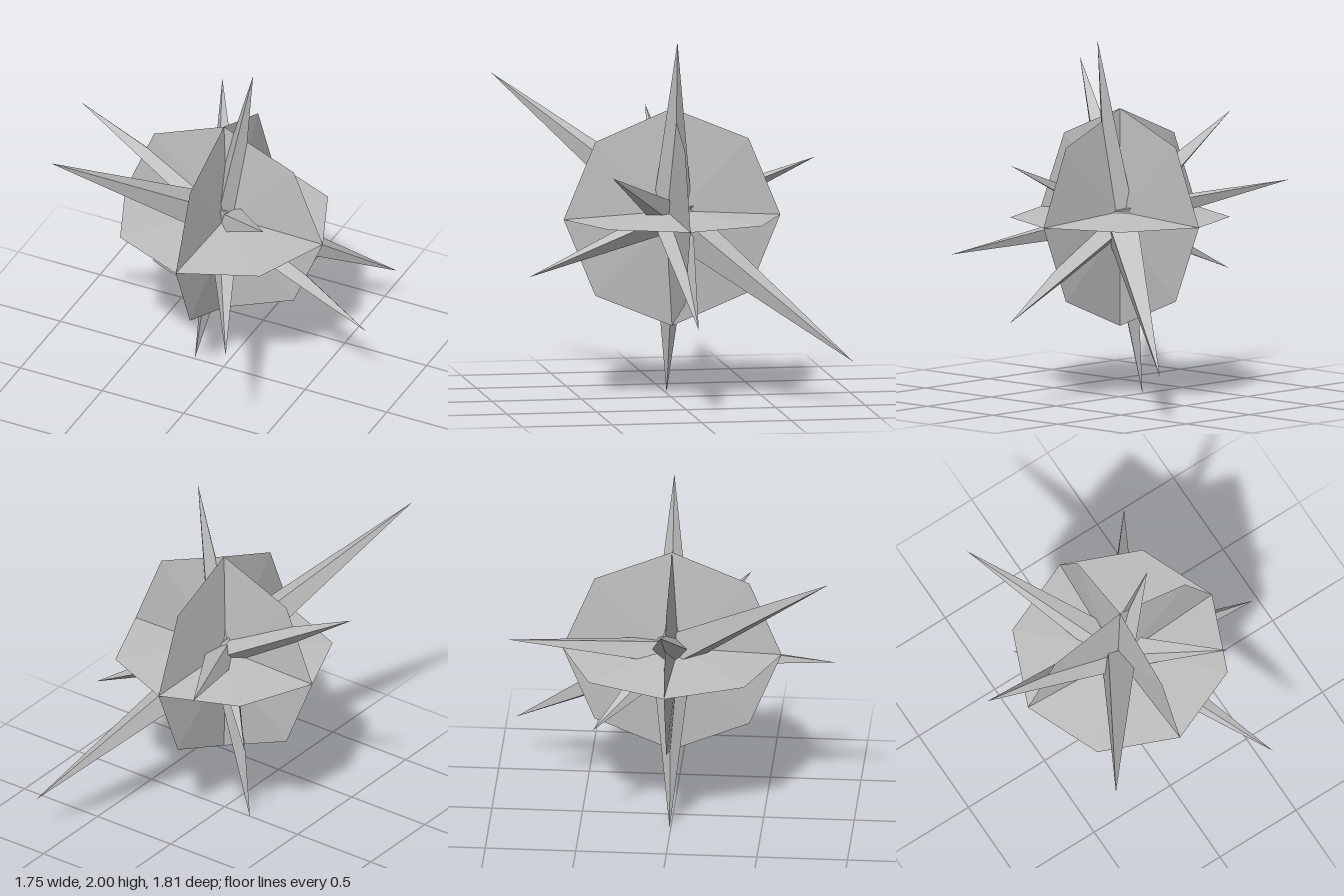
import * as THREE from 'three';

export function createModel() {
  const model = new THREE.Group();
  model.name = 'spikedStar';
  const grey = new THREE.MeshStandardMaterial({ color: 0xc0c0c0, flatShading: true });
  grey.name = 'grey';

  const core = new THREE.Group();
  core.name = 'core';
  core.position.set(0, 1, -0.006);
  model.add(core);

  function addPart(name, geometry, sx, sy, sz) {
    const mesh = new THREE.Mesh(geometry, grey);
    mesh.name = name;
    mesh.scale.set(sx, sy, sz);
    core.add(mesh);
    return mesh;
  }

  // Three crossing eight-sided discs, thin at the rim
  const discShape = new THREE.SphereGeometry(1, 8, 2);
  const radius = 0.605, half = 0.042;
  addPart('levelDisc', discShape, radius, half, radius);
  addPart('frontDisc', discShape, radius, half, radius).rotation.x = Math.PI / 2;
  addPart('sideDisc', discShape, radius, half, radius).rotation.z = Math.PI / 2;

  // Double-ended four-sided spikes: tip direction, two half widths
  const spikeShape = new THREE.OctahedronGeometry(1, 0);
  const up = new THREE.Vector3(0, 1, 0);
  const spikes = [
    ['uprightSpike', [0.178, 1, 0], 0.1, 0.115],
    ['longSpike', [-0.618, 0.738, 0.906], 0.12, 0.125],
    ['sideSpike', [-0.873, 0.503, 0], 0.1, 0.115],
    ['backSpike', [-0.435, 0.251, -0.872], 0.1, 0.08],
    ['shortSpike', [0.44, 0.287, 0.406], 0.065, 0.1],
  ];
  for (const [name, tip, wx, wz] of spikes) {
    const v = new THREE.Vector3(...tip);
    const spike = addPart(name, spikeShape, wx, v.length(), wz);
    spike.quaternion.setFromUnitVectors(up, v.normalize());
  }
  return model;
}
